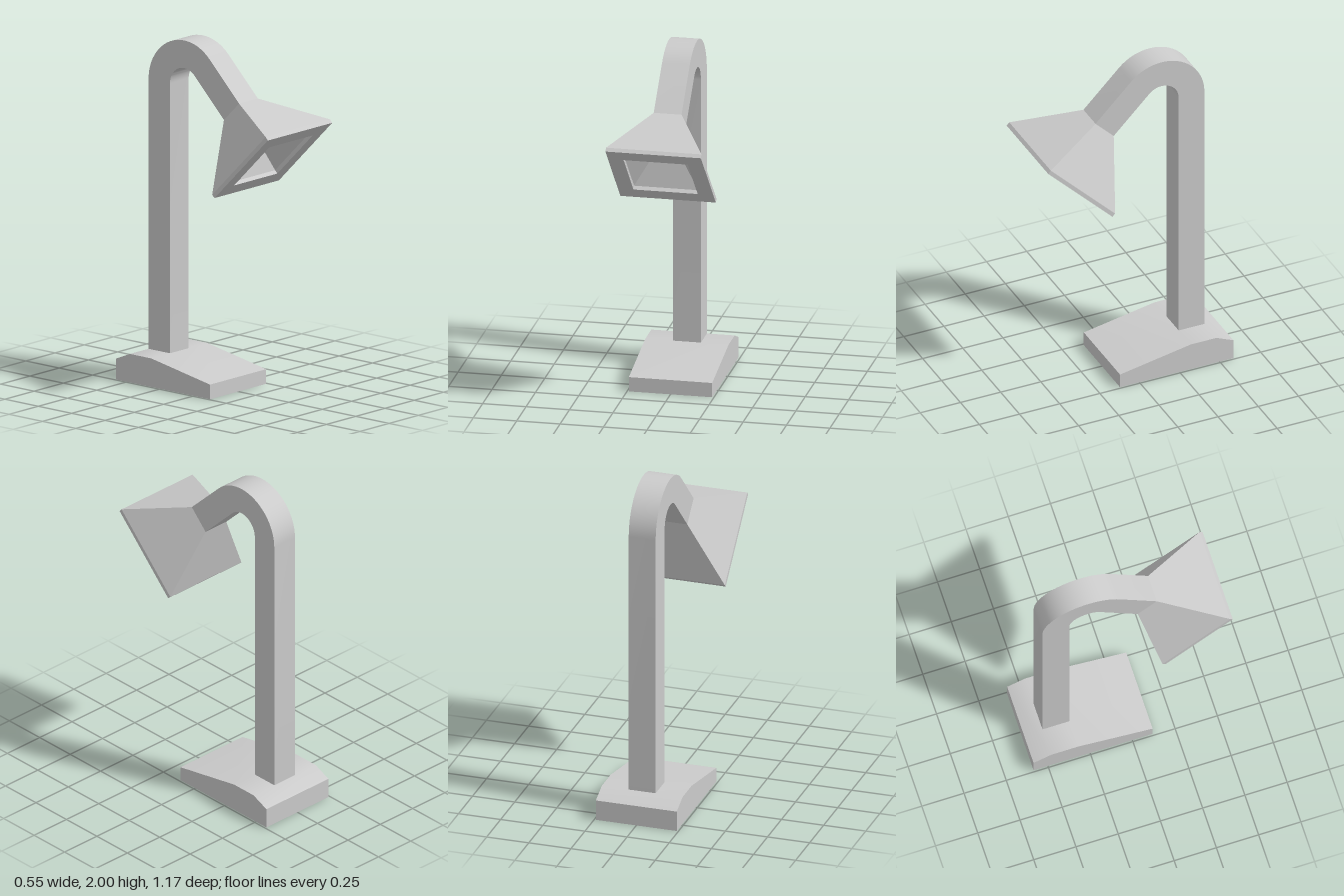
import * as THREE from 'three';
import { toCreasedNormals } from 'three/addons/utils/BufferGeometryUtils.js';

const material = new THREE.MeshStandardMaterial({ color: 0xcccccc });

function addMesh(parent, name, geometry) {
  const mesh = new THREE.Mesh(geometry, material);
  mesh.name = name;
  parent.add(mesh);
  return mesh;
}

// Extrude a side profile (shape x = model z) across the width, centred on x = 0
function extrudeSide(shape, width) {
  const geometry = new THREE.ExtrudeGeometry(shape, { depth: width, bevelEnabled: false, curveSegments: 12 });
  geometry.translate(0, 0, -width / 2).rotateY(-Math.PI / 2);
  return toCreasedNormals(geometry, 0.5);
}

// Skin through rectangular rings [z, half width, half height, centre y]
function loftRings(rings) {
  const signs = [[1, 1], [-1, 1], [-1, -1], [1, -1]];
  const corner = ([z, hw, hh, cy], k) => {
    const [sx, sy] = signs[k % 4];
    return [sx * hw, cy + sy * hh, z];
  };
  const positions = [];
  for (let i = 0; i < rings.length - 1; i++) {
    for (let k = 0; k < 4; k++) {
      const a = corner(rings[i], k), b = corner(rings[i], k + 1);
      const c = corner(rings[i + 1], k + 1), d = corner(rings[i + 1], k);
      positions.push(...a, ...b, ...c);
      if (rings[i + 1][1] > 0) positions.push(...a, ...c, ...d);
    }
  }
  const geometry = new THREE.BufferGeometry();
  geometry.setAttribute('position', new THREE.Float32BufferAttribute(positions, 3));
  geometry.computeVertexNormals();
  return geometry;
}

export function createModel() {
  const lamp = new THREE.Group();
  lamp.name = 'deskLamp';

  // Wedge-shaped foot
  const foot = [[0.12, 0], [0.12, 0.085], [-0.32, 0.165], [-0.48, 0.165], [-0.585, 0.12], [-0.585, 0]];
  addMesh(lamp, 'base', extrudeSide(new THREE.Shape(foot.map(([z, y]) => new THREE.Vector2(z, y))), 0.48));

  // Square post bending over into a straight 45 degree neck
  const bendZ = -0.213, bendY = 1.73, outer = 0.267, inner = 0.107, neck = 0.313;
  const s = Math.SQRT1_2;
  const arm = new THREE.Shape();
  arm.moveTo(bendZ - inner, 0.16);
  arm.lineTo(bendZ - outer, 0.16);
  arm.absarc(bendZ, bendY, outer, Math.PI, Math.PI / 4, true);
  arm.lineTo(bendZ + s * (outer + neck), bendY + s * (outer - neck));
  arm.lineTo(bendZ + s * (inner + neck), bendY + s * (inner - neck));
  arm.absarc(bendZ, bendY, inner, Math.PI / 4, Math.PI, false);
  addMesh(lamp, 'arm', extrudeSide(arm, 0.16));

  // Flared shade: outer skin, rim, then the tapered hollow
  const shade = addMesh(lamp, 'shade', loftRings([
    [neck, 0.08, 0.08, 0],
    [0.643, 0.275, 0.283, -0.01],
    [0.667, 0.275, 0.282, -0.01],
    [0.667, 0.185, 0.187, -0.01],
    [0.643, 0.185, 0.187, -0.01],
    [0.386, 0, 0, -0.01],
  ]));
  const middle = (outer + inner) / 2;
  shade.position.set(0, bendY + s * middle, bendZ + s * middle);
  shade.rotation.x = Math.PI / 4;

  return lamp;
}
